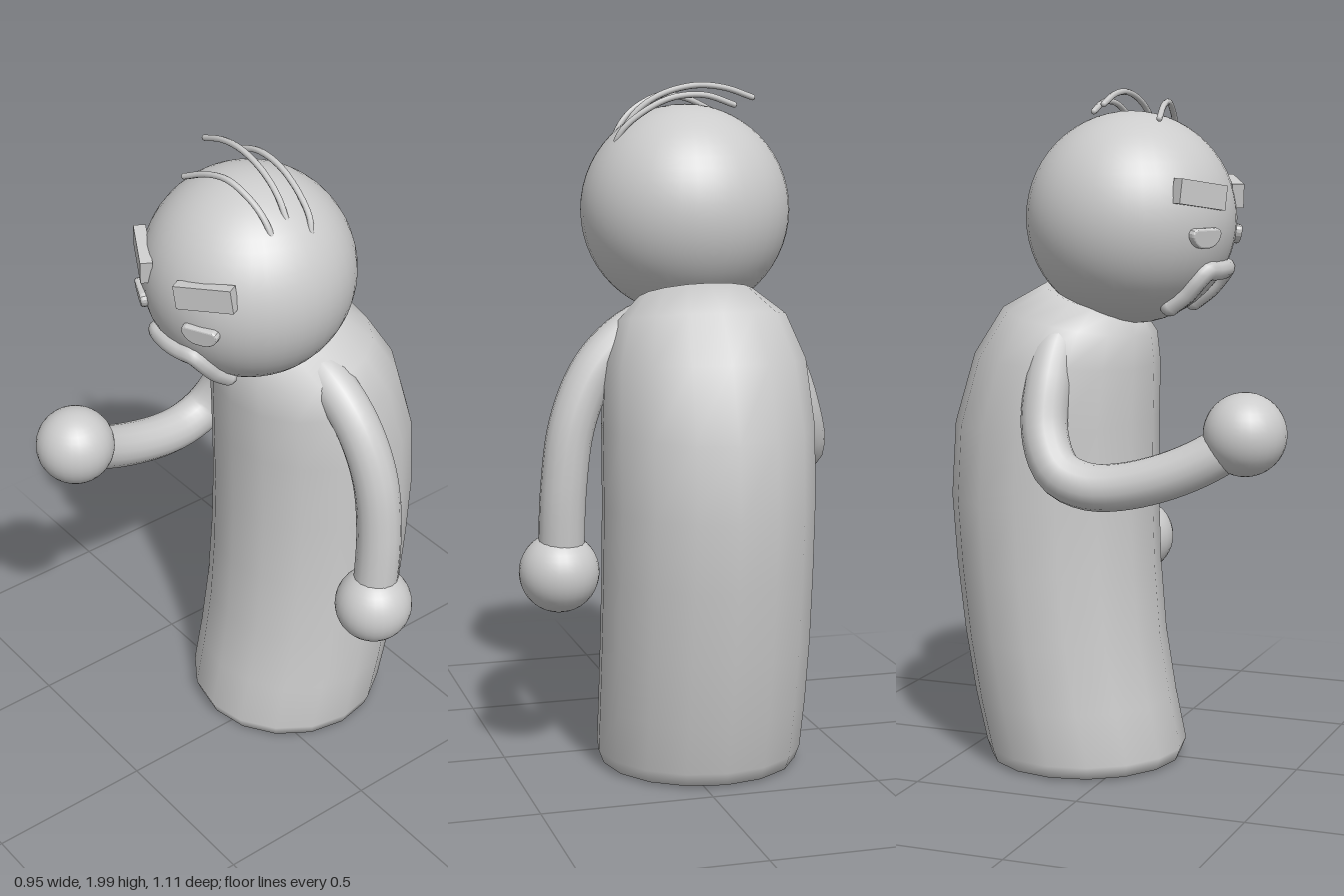
import * as THREE from 'three';

const CX = -0.06; // head and body are centred on this x
const HEAD = new THREE.Vector3(CX, 1.63, 0);
const HEAD_R = 0.307;
const grey = new THREE.MeshStandardMaterial({ color: 0xcccccc, side: THREE.DoubleSide });

function add(parent, name, geometry, position) {
  const mesh = new THREE.Mesh(geometry, grey);
  mesh.name = name;
  if (position) mesh.position.set(...position);
  parent.add(mesh);
  return mesh;
}

function tube(points, radius, segments = 28, sides = 16) {
  const curve = new THREE.CatmullRomCurve3(points.map(p => new THREE.Vector3(...p)));
  return new THREE.TubeGeometry(curve, segments, radius, sides);
}

// z of the head's front surface at a given x, y
function headZ(x, y) {
  return Math.sqrt(Math.max(0, HEAD_R ** 2 - (x - HEAD.x) ** 2 - (y - HEAD.y) ** 2));
}

// Stooped body: tilted oval sections, each [front z, front y, back z, back y, half width]
function bodyGeometry() {
  const sections = [
    [0.11, 0.005, -0.41, 0.005, 0.26],
    [0.14, 0.012, -0.435, 0.012, 0.29],
    [0.155, 0.05, -0.448, 0.05, 0.305],
    [0.122, 0.2, -0.483, 0.2, 0.308],
    [0.09, 0.39, -0.515, 0.39, 0.31],
    [0.073, 0.6, -0.54, 0.6, 0.31],
    [0.066, 0.81, -0.555, 0.8, 0.31],
    [0.067, 1.04, -0.54, 1.02, 0.31],
    [0.07, 1.2, -0.475, 1.23, 0.295],
    [0.062, 1.29, -0.385, 1.37, 0.25],
    [0.03, 1.345, -0.26, 1.44, 0.17],
  ];
  const sides = 16, pos = [], index = [];
  for (const [fz, fy, bz, by, w] of sections) {
    for (let i = 0; i < sides; i++) {
      const a = (i / sides) * Math.PI * 2, t = (1 - Math.cos(a)) / 2;
      pos.push(CX + w * Math.sin(a), fy + (by - fy) * t, fz + (bz - fz) * t);
    }
  }
  for (let r = 0; r < sections.length - 1; r++) {
    for (let i = 0; i < sides; i++) {
      const a = r * sides + i, b = r * sides + (i + 1) % sides;
      index.push(a, b, b + sides, a, b + sides, a + sides);
    }
  }
  // end caps
  const last = (sections.length - 1) * sides;
  for (let i = 1; i < sides - 1; i++) {
    index.push(0, i + 1, i, last, last + i, last + i + 1);
  }
  const g = new THREE.BufferGeometry();
  g.setAttribute('position', new THREE.Float32BufferAttribute(pos, 3));
  g.setIndex(index);
  g.computeVertexNormals();
  return g;
}

export function createModel() {
  const model = new THREE.Group();
  model.name = 'figure';

  add(model, 'body', bodyGeometry());
  add(model, 'head', new THREE.SphereGeometry(HEAD_R, 40, 28), HEAD.toArray());

  // Arms and ball hands
  add(model, 'leftArm', tube([
    [0.06, 1.32, -0.13], [0.11, 1.31, -0.135], [0.2, 1.25, -0.145], [0.27, 1.165, -0.155],
    [0.325, 1.03, -0.165], [0.35, 0.85, -0.165], [0.356, 0.62, -0.15],
  ], 0.067));
  add(model, 'leftHand', new THREE.SphereGeometry(0.117, 28, 20), [0.36, 0.6, -0.145]);
  add(model, 'rightArm', tube([
    [-0.18, 1.32, -0.14], [-0.25, 1.28, -0.15], [-0.32, 1.17, -0.155], [-0.37, 1.03, -0.145],
    [-0.403, 0.93, -0.09], [-0.407, 0.895, -0.01], [-0.4, 0.895, 0.08], [-0.385, 0.93, 0.22],
    [-0.362, 0.99, 0.35], [-0.34, 1.05, 0.43],
  ], 0.067, 36));
  add(model, 'rightHand', new THREE.SphereGeometry(0.117, 28, 20), [-0.335, 1.055, 0.44]);

  // Drooping eye: a half disc with rounded lower corners
  const eyeShape = new THREE.Shape();
  eyeShape.moveTo(-0.04, 0.02);
  eyeShape.lineTo(0.04, 0.02);
  eyeShape.bezierCurveTo(0.065, 0.015, 0.04, -0.025, 0.012, -0.025);
  eyeShape.lineTo(-0.012, -0.025);
  eyeShape.bezierCurveTo(-0.04, -0.025, -0.065, 0.015, -0.04, 0.02);
  const eyeGeo = new THREE.ExtrudeGeometry(eyeShape, {
    depth: 0.03, bevelThickness: 0.008, bevelSize: 0.006, bevelSegments: 3, curveSegments: 8,
  });

  // Brows and eyes, mirrored about the middle of the face
  for (const [side, s] of [['left', 1], ['right', -1]]) {
    const brow = add(model, side + 'Brow', new THREE.BoxGeometry(0.172, 0.07, 0.035),
      [CX + s * 0.145, 1.705, 0.26]);
    brow.rotation.set(0, s * 0.51, s * 0.14, 'YXZ');
    const eye = add(model, side + 'Eye', eyeGeo, [CX + s * 0.126, 1.588, 0.25]);
    eye.rotation.set(0.12, s * 0.45, 0, 'YXZ');
  }

  // Moustache: a band bent over the face with two hanging ends
  const half = [[0.102, 1.385], [0.1, 1.42], [0.098, 1.46], [0.085, 1.485], [0.045, 1.485]];
  const outline = [
    ...half.map(([x, y]) => [CX - x, y]),
    [CX, 1.485],
    ...half.slice().reverse().map(([x, y]) => [CX + x, y]),
  ];
  const path = outline.map(([x, y]) => [x, y, headZ(x, y) + 0.002]);
  add(model, 'moustache', tube(path, 0.029, 48, 10));
  for (const end of [path[0], path[path.length - 1]]) {
    add(model, 'moustacheTip', new THREE.SphereGeometry(0.029, 12, 8), end);
  }

  // Three strands of hair combed across the crown
  const strands = [
    [[-0.19, 1.935, -0.065], [-0.1, 1.963, -0.067], [0, 1.955, -0.065], [0.09, 1.91, -0.06],
      [0.145, 1.86, -0.052], [0.168, 1.8, -0.035]],
    [[-0.265, 1.955, -0.005], [-0.18, 1.983, -0.005], [-0.09, 1.99, -0.002], [0.01, 1.965, 0.002],
      [0.08, 1.92, 0.006], [0.125, 1.86, 0.01]],
    [[-0.18, 1.915, 0.13], [-0.1, 1.95, 0.113], [-0.02, 1.962, 0.1], [0.06, 1.93, 0.085],
      [0.11, 1.885, 0.075], [0.145, 1.82, 0.068]],
  ];
  for (const points of strands) {
    add(model, 'hairStrand', tube(points, 0.009, 24, 8));
    add(model, 'hairTip', new THREE.SphereGeometry(0.009, 8, 6), points[0]);
  }

  return model;
}
